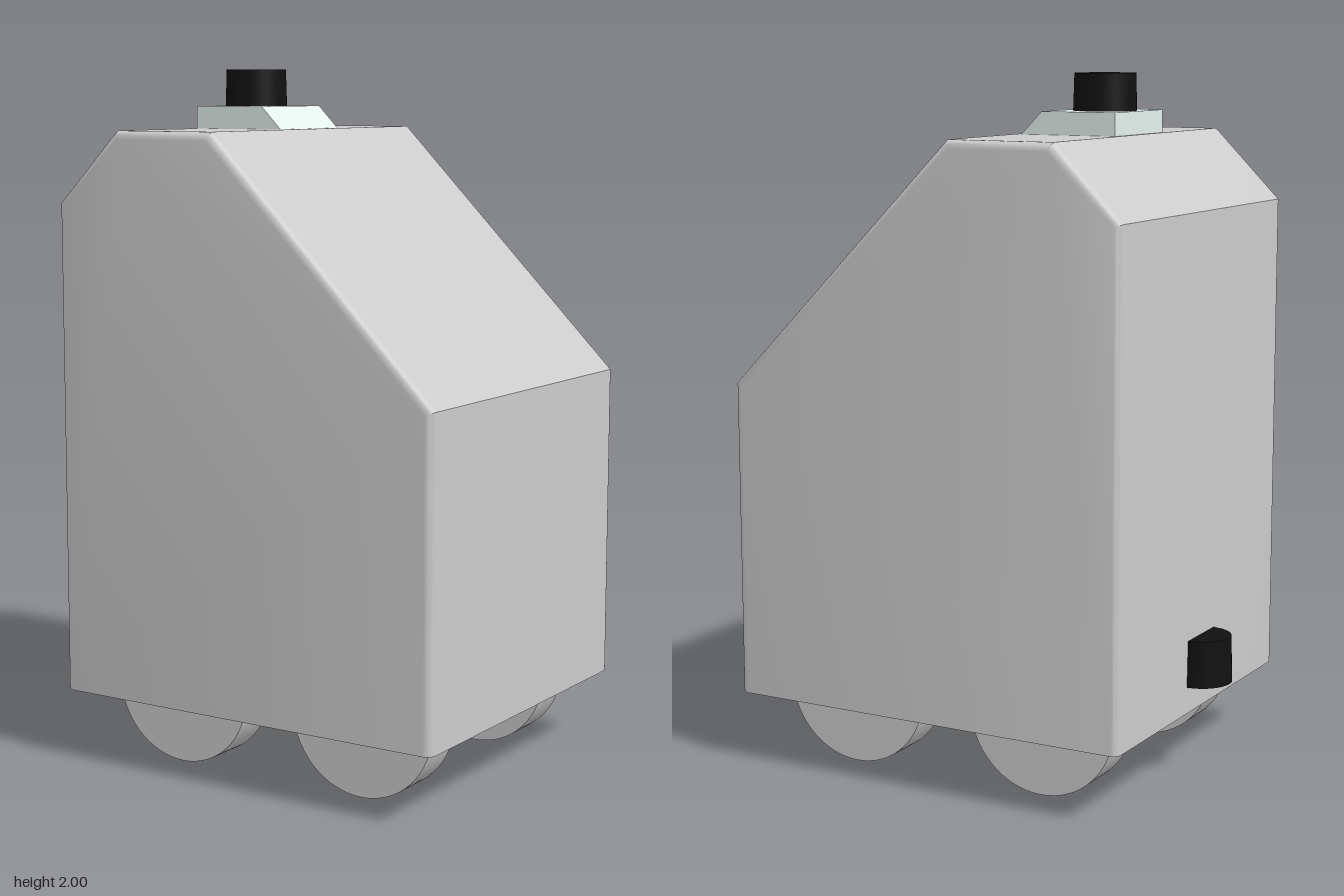
import * as THREE from 'three';
import { toCreasedNormals } from 'three/addons/utils/BufferGeometryUtils.js';

const grey = new THREE.MeshStandardMaterial({ color: 0xcccccc });
const pale = new THREE.MeshStandardMaterial({ color: 0xe4f0ec });
const black = new THREE.MeshStandardMaterial({ color: 0x111111 });

// Extrudes an x-y outline along z, centred, with an optional rounded rim that stays inside the outline.
function prism(points, depth, rim = 0) {
  const shape = new THREE.Shape(points.map(([x, y]) => new THREE.Vector2(x, y)));
  return new THREE.ExtrudeGeometry(shape, {
    depth: depth - 2 * rim,
    bevelEnabled: rim > 0,
    bevelThickness: rim,
    bevelSize: rim,
    bevelOffset: -rim,
    bevelSegments: 6,
  }).translate(0, 0, rim - depth / 2);
}

export function createModel() {
  const model = new THREE.Group();
  const add = (name, geometry, material, x = 0, y = 0, z = 0) => {
    const mesh = new THREE.Mesh(geometry, material);
    mesh.name = name;
    mesh.position.set(x, y, z);
    model.add(mesh);
    return mesh;
  };

  // Housing: sloped cabinet with rounded side rims and a sharp, flat underside
  const floor = 0.203;
  const rim = 0.025;
  const housing = prism([
    [-0.575, floor], [0.66, floor], [0.66, 1.122],
    [-0.047, 1.83], [-0.37, 1.83], [-0.575, 1.625],
  ], 1.064, rim);
  const pos = housing.attributes.position;
  for (let i = 0; i < pos.count; i++) {
    if (pos.getY(i) < floor + rim + 0.005) pos.setY(i, floor);
  }
  add('housing', toCreasedNormals(housing, 0.5), grey);

  // Wheels: discs half sunk into the underside
  const wheel = new THREE.CylinderGeometry(0.228, 0.228, 0.123, 64).rotateX(Math.PI / 2);
  for (const [end, x] of [['Rear', -0.263], ['Front', 0.352]]) {
    for (const [side, z] of [['A', 0.323], ['B', -0.323]]) {
      add(`wheel${end}${side}`, wheel, grey, x, 0.228, z);
    }
  }

  // Top mount: small block with one chamfered end
  const mount = prism([[-0.364, 1.82], [-0.06, 1.82], [-0.135, 1.895], [-0.364, 1.895]], 0.3);
  add('topMount', mount, pale);

  // Knobs: slightly tapered, one on the mount and one half sunk in the rear wall
  const knob = new THREE.CylinderGeometry(0.087, 0.091, 0.135, 48);
  add('topKnob', knob, black, -0.257, 1.9325, 0);
  add('rearKnob', knob, black, -0.575, 0.3475, 0);

  return model;
}
